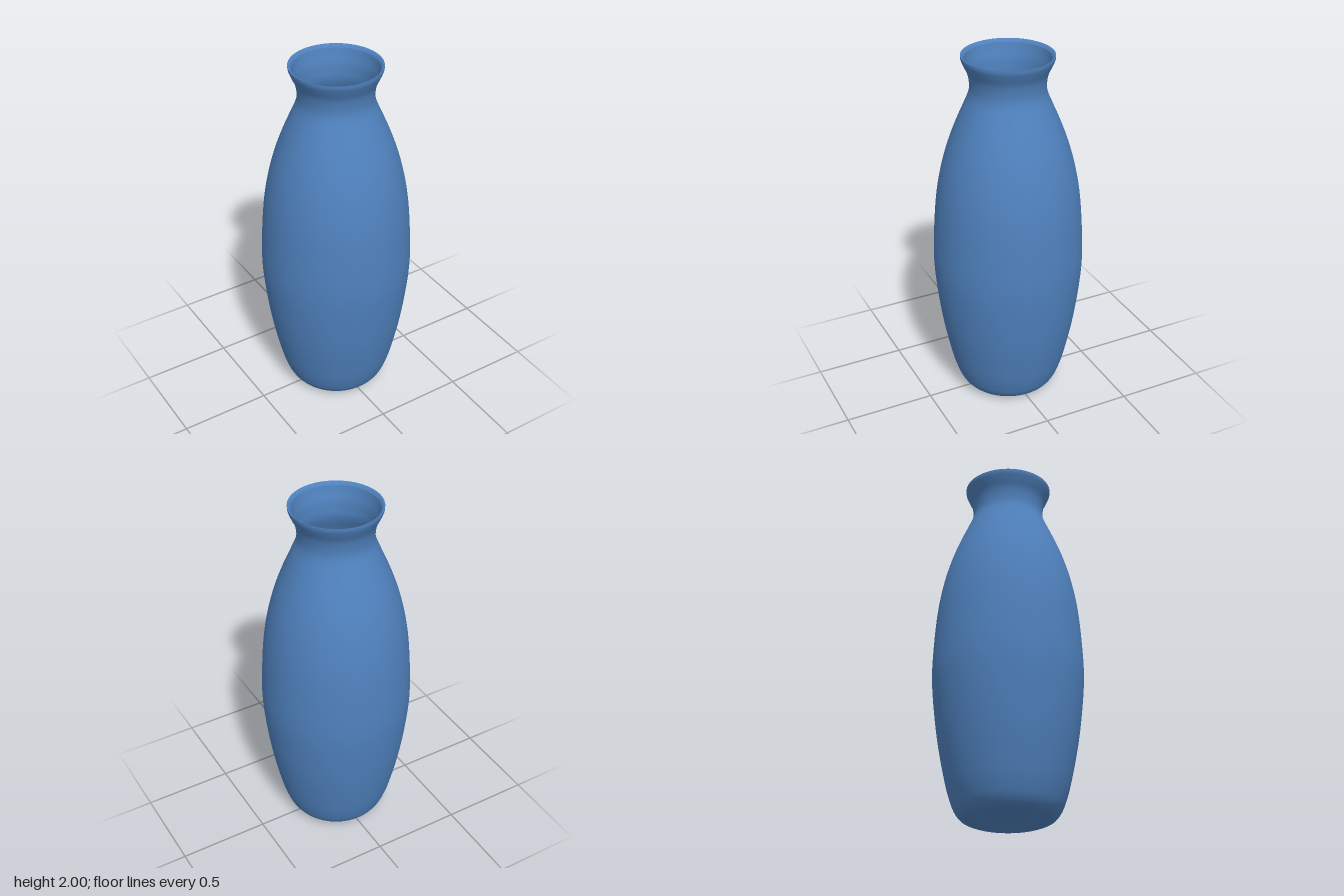
import * as THREE from 'three';

const SEGMENTS = 96;

// Revolve a smooth curve drawn through [radius, height] points
function revolve(name, points, samples, material) {
  const curve = new THREE.SplineCurve(points.map(([r, y]) => new THREE.Vector2(r, y)));
  const profile = curve.getPoints(samples);
  profile.forEach((p) => { p.x = Math.max(p.x, 0); });
  const mesh = new THREE.Mesh(new THREE.LatheGeometry(profile, SEGMENTS), material);
  mesh.name = name;
  return mesh;
}

export function createModel() {
  const group = new THREE.Group();
  group.name = 'vase';
  const glaze = new THREE.MeshStandardMaterial({ color: 0x4f81bd, side: THREE.DoubleSide });

  // Base pushed up into a shallow dome
  group.add(revolve('base', [
    [0, 0.06], [0.06, 0.053], [0.12, 0.032], [0.17, 0.01], [0.21, 0],
  ], 20, glaze));

  // Thin wall: rounded foot, full belly, shoulder, neck and flared mouth
  group.add(revolve('body', [
    [0.21, 0], [0.25, 0.018], [0.28, 0.056], [0.302, 0.11], [0.328, 0.2],
    [0.369, 0.4], [0.397, 0.6], [0.413, 0.8], [0.407, 1.0], [0.39, 1.2],
    [0.362, 1.36], [0.324, 1.5], [0.28, 1.62], [0.237, 1.72], [0.208, 1.79],
    [0.201, 1.84], [0.209, 1.9], [0.231, 1.95], [0.243, 1.98], [0.245, 2.0],
  ], 96, glaze));

  // Bevelled lip sloping into the mouth
  group.add(revolve('lip', [[0.245, 2.0], [0.236, 1.997], [0.226, 1.985]], 6, glaze));

  // Inside of the mouth, blending into the neck
  group.add(revolve('innerMouth', [
    [0.226, 1.985], [0.218, 1.95], [0.205, 1.9], [0.2, 1.84],
  ], 16, glaze));

  return group;
}
